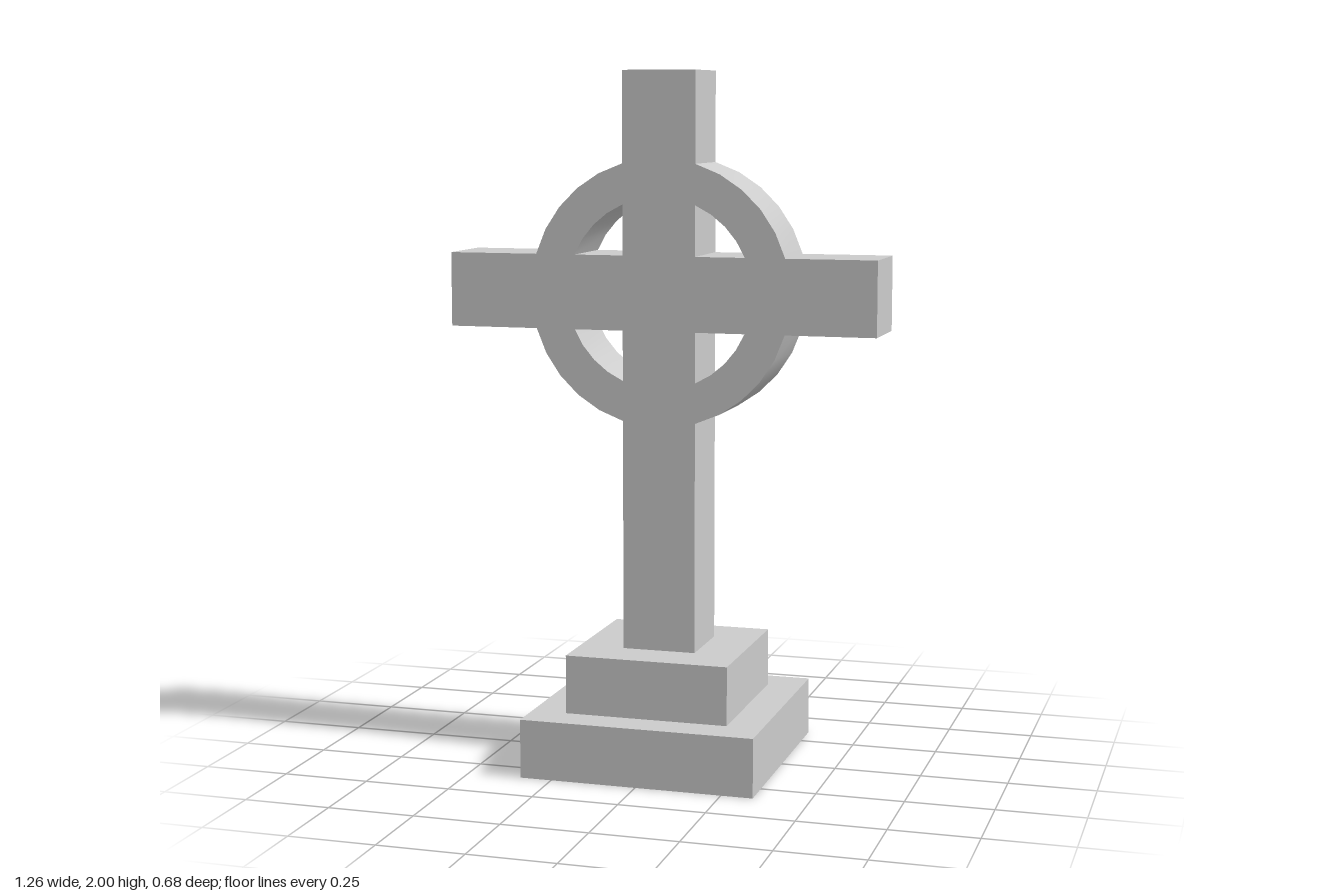
import * as THREE from 'three';
import { toCreasedNormals } from 'three/addons/utils/BufferGeometryUtils.js';

const HALF = 0.107;      // half thickness of shaft and arms
const ARM = 0.628;       // half span of the arms
const CENTRE = 1.373;    // height of the crossing
const TOP = 2;
const RING_OUT = 0.382;
const RING_IN = 0.273;

// Arc within one quadrant, running from the arm's edge to the shaft's edge
function quadrantArc(radius, segments) {
  const start = Math.asin(HALF / radius);
  const step = (Math.PI / 2 - 2 * start) / segments;
  return Array.from({ length: segments + 1 }, (_, i) => [
    radius * Math.cos(start + i * step),
    radius * Math.sin(start + i * step),
  ]);
}

// Removes the faces lying at the lowest level, leaving the solid hollow below
function openBottom(geometry) {
  const flat = geometry.index ? geometry.toNonIndexed() : geometry;
  const p = flat.attributes.position;
  flat.computeBoundingBox();
  const low = flat.boundingBox.min.y + 1e-4;
  const kept = [];
  for (let i = 0; i < p.count; i += 3) {
    if (p.getY(i) < low && p.getY(i + 1) < low && p.getY(i + 2) < low) continue;
    for (let j = i; j < i + 3; j++) kept.push(p.getX(j), p.getY(j), p.getZ(j));
  }
  const open = new THREE.BufferGeometry();
  open.setAttribute('position', new THREE.Float32BufferAttribute(kept, 3));
  return toCreasedNormals(open, 0.5);
}

// Shaft, arms and ring as a single pierced slab
function crossGeometry() {
  const outline = [];
  const holes = [];
  for (const [sx, sy] of [[1, 1], [-1, 1], [-1, -1], [1, -1]]) {
    const place = ([x, y]) => new THREE.Vector2(sx * x, CENTRE + sy * y);
    const end = sy > 0 ? TOP - CENTRE : CENTRE;
    const edge = [[ARM, HALF], ...quadrantArc(RING_OUT, 5), [HALF, end]].map(place);
    outline.push(...(sx * sy > 0 ? edge : edge.reverse()));
    holes.push(new THREE.Path([[HALF, HALF], ...quadrantArc(RING_IN, 4)].map(place)));
  }
  const shape = new THREE.Shape(outline);
  shape.holes.push(...holes);
  const geometry = new THREE.ExtrudeGeometry(shape, { depth: 2 * HALF, bevelEnabled: false });
  return geometry.translate(0, 0, -HALF);
}

export function createModel() {
  const model = new THREE.Group();
  model.name = 'ringedStoneCross';
  const stone = new THREE.MeshStandardMaterial({ color: 0xcccccc, side: THREE.DoubleSide });

  function add(name, geometry) {
    const mesh = new THREE.Mesh(openBottom(geometry), stone);
    mesh.name = name;
    model.add(mesh);
  }

  // Two square plinth steps, open underneath
  add('lowerStep', new THREE.BoxGeometry(0.684, 0.17, 0.684).translate(0, 0.085, 0));
  add('upperStep', new THREE.BoxGeometry(0.478, 0.17, 0.478).translate(0, 0.255, 0));

  // The shaft runs down through the plinth to the ground
  add('ringedCross', crossGeometry());
  return model;
}
